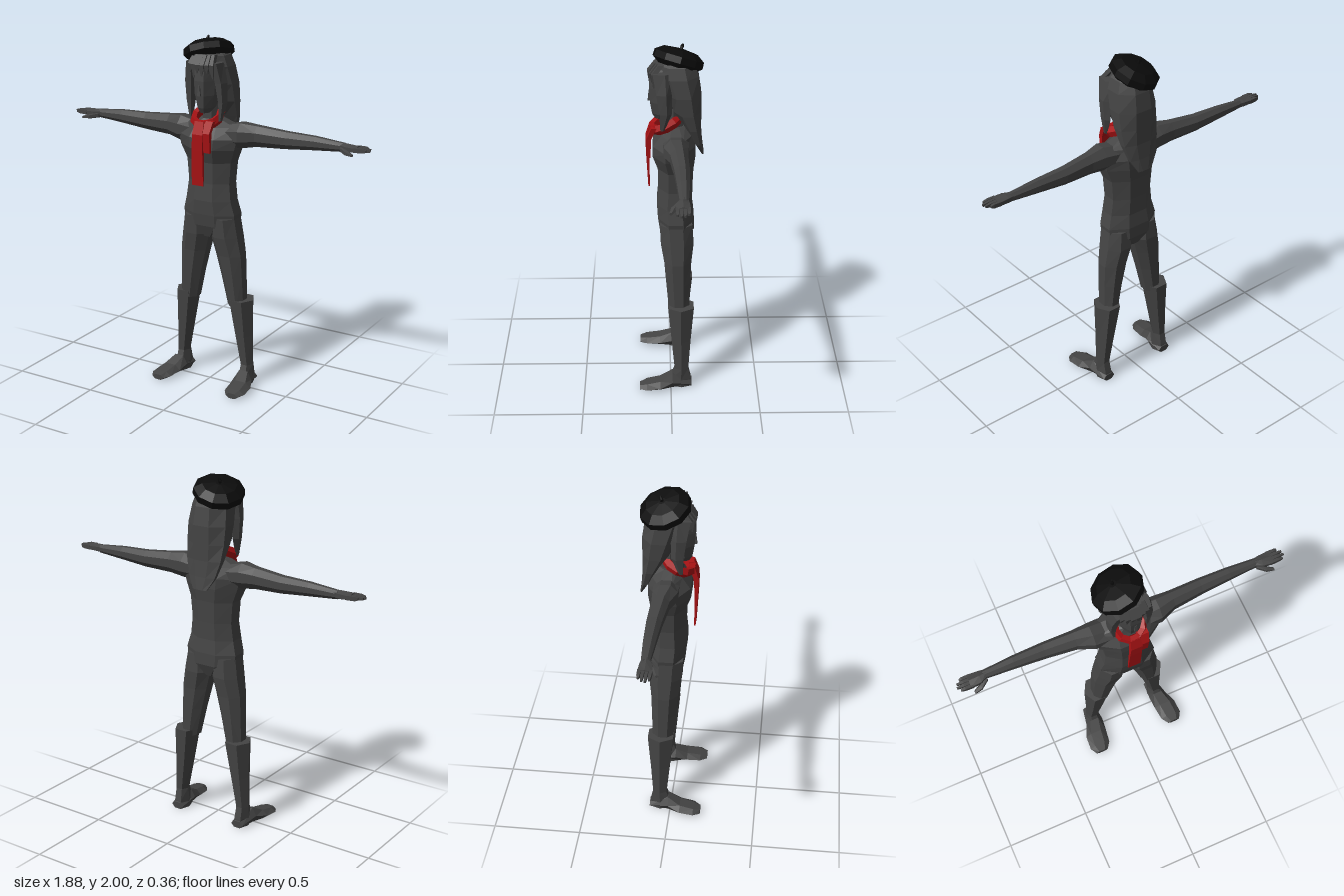
import * as THREE from 'three';

// Loft through rings [y, centreX, centreZ, radiusX, radiusZ], listed bottom to top.
function loft(rings, n = 8) {
  const pos = [], idx = [], k = 1 / Math.cos(Math.PI / n);
  for (const [y, cx, cz, rx, rz] of rings) {
    for (let i = 0; i < n; i++) {
      const t = Math.PI / n + (i * 2 * Math.PI) / n;
      pos.push(cx + rx * k * Math.sin(t), y, cz + rz * k * Math.cos(t));
    }
  }
  for (let r = 0; r < rings.length - 1; r++) {
    for (let i = 0; i < n; i++) {
      const a = r * n + i, b = r * n + ((i + 1) % n);
      idx.push(a, b, b + n, a, b + n, a + n);
    }
  }
  const top = (rings.length - 1) * n;
  for (let i = 1; i < n - 1; i++) {
    idx.push(0, i + 1, i, top, top + i, top + i + 1);
  }
  const g = new THREE.BufferGeometry();
  g.setAttribute('position', new THREE.Float32BufferAttribute(pos, 3));
  g.setIndex(idx);
  return g;
}

// Ring given by its limits: height, x from/to, z from/to.
const span = (y, x0, x1, z0, z1) => [y, (x0 + x1) / 2, (z0 + z1) / 2, (x1 - x0) / 2, (z1 - z0) / 2];
// Symmetric ring: height, half width, z from/to.
const sym = (y, w, z0, z1) => span(y, -w, w, z0, z1);

// Loft along +x; rings are x, y from/to, z from/to.
const loftX = (rings, n) =>
  loft(rings.map(([x, y0, y1, z0, z1]) => span(x, -y1, -y0, z0, z1)), n).rotateZ(-Math.PI / 2);
// Loft along +z; rings are z, x from/to, y from/to.
const loftZ = (rings, n) =>
  loft(rings.map(([z, x0, x1, y0, y1]) => span(z, x0, x1, -y1, -y0)), n).rotateX(Math.PI / 2);

function mirrored(geometry) {
  const g = geometry.clone().scale(-1, 1, 1), ix = g.index.array;
  for (let i = 0; i < ix.length; i += 3) [ix[i], ix[i + 1]] = [ix[i + 1], ix[i]];
  return g;
}

function paint(name, color) {
  const m = new THREE.MeshStandardMaterial({ color });
  m.name = name;
  m.flatShading = true;
  return m;
}

export function createModel() {
  const model = new THREE.Group();
  model.name = 'figure';
  const grey = paint('dark grey', 0x444444);
  const red = paint('scarf red', 0xa81214);
  const black = paint('beret black', 0x0b0b0b);

  const add = (name, geometry, material = grey) => {
    const g = geometry.toNonIndexed();
    g.computeVertexNormals();
    const mesh = new THREE.Mesh(g, material);
    mesh.name = name;
    model.add(mesh);
    return mesh;
  };
  const pair = (name, geometry, material) => {
    add('left ' + name, geometry, material);
    add('right ' + name, mirrored(geometry), material);
  };

  // Body
  add('torso', loft([
    sym(0.88, 0.04, -0.1, 0.03), sym(0.95, 0.155, -0.13, 0.06), sym(1.02, 0.163, -0.13, 0.07),
    sym(1.1, 0.142, -0.12, 0.075), sym(1.2, 0.13, -0.12, 0.066), sym(1.32, 0.14, -0.125, 0.07),
    sym(1.4, 0.17, -0.135, 0.098), sym(1.46, 0.185, -0.135, 0.095), sym(1.52, 0.16, -0.115, 0.05),
    sym(1.56, 0.06, -0.08, 0.03),
  ]));
  add('neck', loft([sym(1.53, 0.05, -0.07, 0.03), sym(1.68, 0.045, -0.06, 0.03)], 6));
  add('head', loft([
    sym(1.6, 0.024, 0.02, 0.082), sym(1.63, 0.044, -0.03, 0.098), sym(1.7, 0.062, -0.06, 0.11),
    sym(1.78, 0.068, -0.08, 0.115), sym(1.86, 0.07, -0.08, 0.11), sym(1.92, 0.05, -0.06, 0.06),
  ]));
  add('nose', loft([sym(1.7, 0.009, 0.1, 0.122), sym(1.76, 0.005, 0.105, 0.116)], 4));

  // Arms and hands
  pair('arm', loftX([
    [0.1, 1.42, 1.53, -0.1, 0.04], [0.19, 1.41, 1.55, -0.095, 0.04], [0.28, 1.425, 1.54, -0.09, 0.005],
    [0.45, 1.432, 1.525, -0.095, -0.015], [0.62, 1.447, 1.52, -0.09, -0.025], [0.79, 1.46, 1.505, -0.08, -0.035],
  ]));
  pair('palm', loftX([
    [0.77, 1.462, 1.504, -0.078, -0.036], [0.81, 1.462, 1.504, -0.084, -0.018], [0.87, 1.468, 1.5, -0.088, -0.014],
  ], 6));
  [-0.079, -0.06, -0.041, -0.022].forEach((z, i) => {
    const tip = [0.915, 0.935, 0.94, 0.925][i];
    pair('finger ' + (i + 1), loftX([
      [0.855, 1.472, 1.496, z - 0.009, z + 0.009], [0.9, 1.474, 1.496, z - 0.008, z + 0.008],
      [tip, 1.479, 1.491, z - 0.005, z + 0.005],
    ], 4));
  });
  pair('thumb', loftX([
    [0.775, 1.462, 1.488, -0.05, -0.025], [0.82, 1.455, 1.478, -0.022, 0.008], [0.862, 1.455, 1.468, 0, 0.016],
  ], 5));

  // Legs, boots and feet
  pair('leg', loft([
    span(0.48, 0.105, 0.205, -0.105, 0.01), span(0.65, 0.068, 0.2, -0.11, 0.025),
    span(0.78, 0.035, 0.195, -0.115, 0.036), span(0.89, 0.005, 0.177, -0.128, 0.055),
    span(1.0, 0.01, 0.16, -0.12, 0.06),
  ]));
  pair('boot', loft([
    span(0, 0.175, 0.245, -0.12, 0), span(0.05, 0.175, 0.248, -0.115, 0), span(0.12, 0.18, 0.246, -0.1, -0.022),
    span(0.3, 0.147, 0.241, -0.112, -0.005), span(0.515, 0.108, 0.24, -0.13, 0.015),
  ], 6));
  pair('foot', loftZ([
    [-0.12, 0.178, 0.245, 0, 0.04], [-0.01, 0.172, 0.265, 0, 0.09], [0.06, 0.18, 0.295, 0, 0.055],
    [0.14, 0.19, 0.3, 0, 0.04], [0.18, 0.215, 0.28, 0, 0.03],
  ], 6));

  // Hair: long mane, side locks and pointed fringe
  add('hair', loft([
    sym(1.4, 0.045, -0.182, -0.168), sym(1.47, 0.085, -0.172, -0.125), sym(1.56, 0.11, -0.165, -0.08),
    sym(1.65, 0.12, -0.165, -0.02), sym(1.75, 0.122, -0.165, 0.025), sym(1.85, 0.11, -0.15, 0.065),
    sym(1.91, 0.09, -0.13, 0.06), sym(1.95, 0.04, -0.08, 0.02),
  ]));
  pair('side lock', loft([
    span(1.56, 0.085, 0.1, 0.035, 0.055), span(1.66, 0.082, 0.118, 0, 0.06),
    span(1.77, 0.068, 0.12, 0, 0.075), span(1.88, 0.055, 0.1, 0, 0.095),
  ], 5));
  [-0.062, -0.037, -0.012, 0.014, 0.038, 0.062].forEach((x, i) => {
    const z = 0.114 - Math.abs(x) * 0.4;
    add('fringe ' + (i + 1), loft([
      [1.82 - (i % 2) * 0.025, x * 1.15, z, 0.002, 0.003],
      [1.87, x, z, 0.017, 0.014], [1.92, x * 0.8, z - 0.04, 0.018, 0.016],
    ], 4));
  });

  // Scarf: tilted neck wrap and two hanging ends
  add('scarf wrap', new THREE.TorusGeometry(0.076, 0.022, 5, 10)
    .rotateX(Math.PI / 2).scale(1, 1.4, 1.05).rotateX(0.45).translate(0, 1.572, 0.025), red);
  add('long scarf end', loft([
    [1.2, -0.008, 0.118, 0.036, 0.004], [1.4, -0.004, 0.124, 0.034, 0.009],
    [1.49, 0, 0.122, 0.033, 0.014], [1.56, 0, 0.1, 0.028, 0.014],
  ], 4), red);
  add('short scarf end', loft([
    [1.39, 0.05, 0.115, 0.02, 0.006], [1.5, 0.047, 0.118, 0.025, 0.013], [1.565, 0.05, 0.09, 0.03, 0.014],
  ], 4), red);

  // Beret tipped towards the back right, with its stalk
  const place = (mesh) => {
    mesh.position.set(-0.03, 1.912, -0.04);
    mesh.rotation.set(-0.3, 0, 0.3);
  };
  place(add('beret', loft([
    [-0.035, 0, 0, 0.1, 0.1], [-0.008, 0, 0, 0.134, 0.134], [0.028, 0, 0, 0.132, 0.132],
    [0.058, 0, 0, 0.09, 0.09], [0.066, 0, 0, 0.02, 0.02],
  ], 10), black));
  place(add('beret stalk', loft([
    [0.055, 0, 0, 0.007, 0.007], [0.08, 0, 0, 0.008, 0.008], [0.094, 0.008, 0, 0.004, 0.004],
  ], 5), black));

  return model;
}
